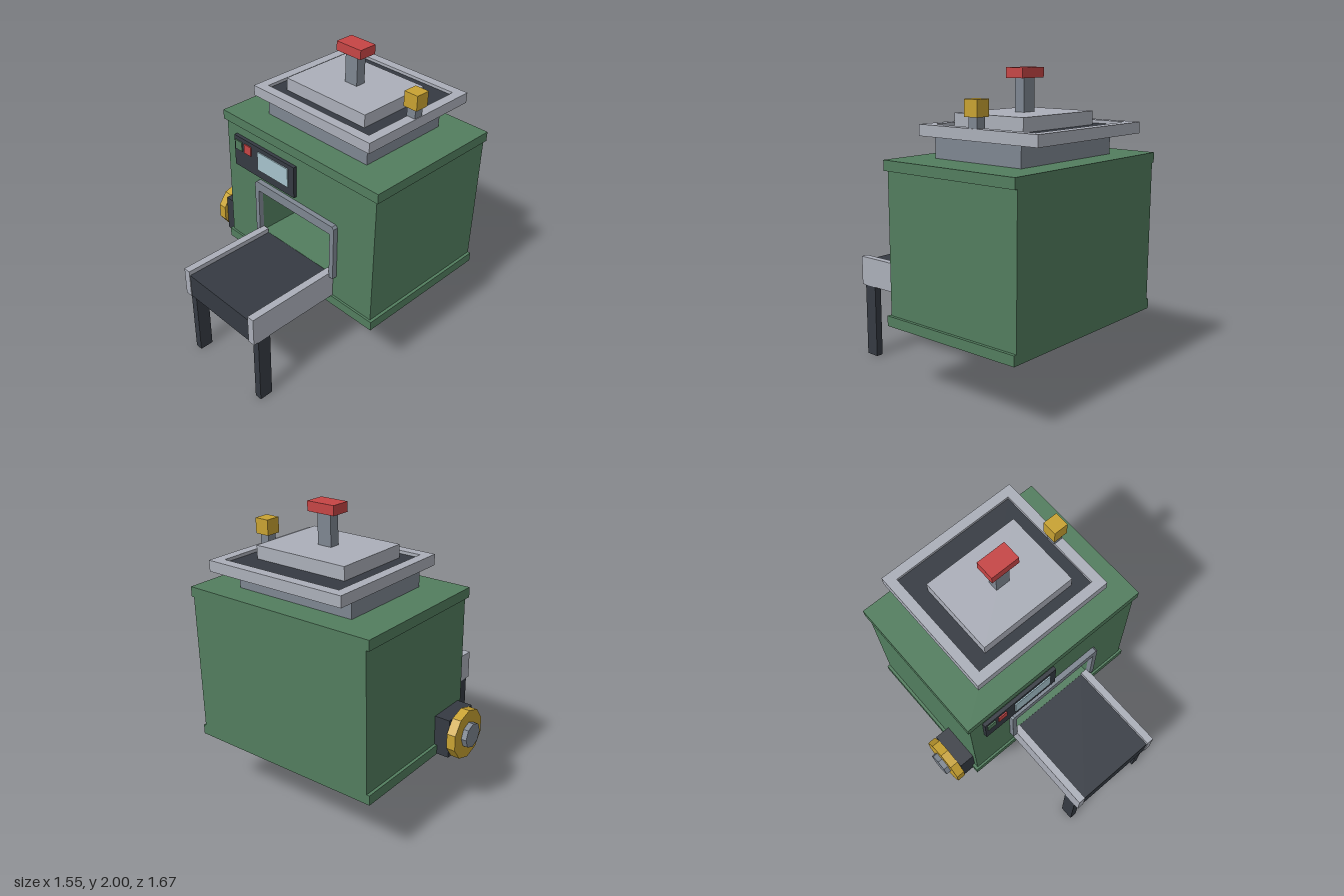
import * as THREE from 'three';

const paint = (name, color) => {
  const m = new THREE.MeshStandardMaterial({ color });
  m.name = name;
  return m;
};

export function createModel() {
  const green = paint('green enamel', 0x527d5e);
  const dark = paint('dark steel', 0x353a42);
  const light = paint('light metal', 0xabafb9);
  const grey = paint('grey metal', 0x7e8691);
  const gold = paint('brass', 0xc8a232);
  const red = paint('red', 0xc64545);
  const glass = paint('display glass', 0xa6c3cc);

  const model = new THREE.Group();
  model.name = 'machine';

  const add = (name, geometry, material) => {
    const mesh = new THREE.Mesh(geometry, material);
    mesh.name = name;
    model.add(mesh);
    return mesh;
  };
  // box given by its limits on each axis
  const box = (name, material, [x0, x1], [y0, y1], [z0, z1]) => {
    const mesh = add(name, new THREE.BoxGeometry(x1 - x0, y1 - y0, z1 - z0), material);
    mesh.position.set((x0 + x1) / 2, (y0 + y1) / 2, (z0 + z1) / 2);
    return mesh;
  };
  const polygon = (points, Type = THREE.Shape) =>
    new Type(points.map(([x, y]) => new THREE.Vector2(x, y)));
  const rect = (x0, x1, y0, y1, Type) =>
    polygon([[x0, y0], [x1, y0], [x1, y1], [x0, y1]], Type);
  const extrude = (shape, depth) =>
    new THREE.ExtrudeGeometry(shape, { depth, bevelEnabled: false });

  // Body: solid rear block and a front section with the outlet cut through it
  box('bodyRear', green, [-0.575, 0.755], [0.45, 1.45], [-0.835, -0.24]);
  const front = rect(-0.575, 0.755, 0.45, 1.45);
  front.holes.push(rect(-0.24, 0.42, 0.67, 1.005, THREE.Path));
  add('bodyFront', extrude(front, 0.405), green).position.z = -0.24;
  box('bottomRim', green, [-0.595, 0.775], [0.435, 0.5], [-0.835, 0.18]);
  box('topRim', green, [-0.595, 0.775], [1.4, 1.465], [-0.835, 0.18]);

  // Outlet: dark back panel and chamfered frame
  box('outletPanel', dark, [-0.23, 0.405], [0.688, 0.985], [-0.24, -0.232]);
  const frame = polygon([
    [-0.275, 0.67], [-0.24, 0.67], [-0.24, 1.005], [0.42, 1.005], [0.42, 0.67],
    [0.455, 0.67], [0.455, 1.055], [0.44, 1.07], [-0.26, 1.07], [-0.275, 1.055],
  ]);
  add('outletFrame', extrude(frame, 0.035), grey).position.z = 0.165;

  // Conveyor with rails and legs
  box('conveyorBed', dark, [-0.195, 0.375], [0.5, 0.668], [0.16, 0.83]);
  for (const x of [-0.245, 0.375]) {
    box('conveyorRail', light, [x, x + 0.05], [0.5, 0.7], [0.165, 0.835]);
    box('conveyorLeg', dark, [x, x + 0.05], [0, 0.5], [0.705, 0.8]);
  }

  // Control panel
  box('controlPanel', dark, [-0.48, 0.09], [1.105, 1.33], [0.165, 0.19]);
  box('display', glass, [-0.245, 0.04], [1.165, 1.3], [0.19, 0.198]);
  box('startButton', green, [-0.465, -0.4], [1.235, 1.302], [0.19, 0.198]);
  box('stopButton', red, [-0.378, -0.312], [1.235, 1.302], [0.19, 0.198]);

  // Hopper: neck, flange ring, dark bed and lid
  box('hopperNeck', grey, [-0.345, 0.52], [1.465, 1.61], [-0.665, 0]);
  const flange = rect(-0.41, 0.59, -0.065, 0.835);
  flange.holes.push(rect(-0.345, 0.525, 0, 0.77, THREE.Path));
  const ring = add('hopperFlange', extrude(flange, 0.07), light);
  ring.rotation.x = -Math.PI / 2;
  ring.position.y = 1.6;
  box('hopperBed', dark, [-0.345, 0.525], [1.605, 1.65], [-0.77, 0]);
  box('lid', light, [-0.245, 0.425], [1.65, 1.735], [-0.6, -0.07]);

  // Lid handle and corner valve
  box('handlePost', grey, [0.04, 0.14], [1.735, 1.94], [-0.37, -0.3]);
  box('handleGrip', red, [-0.01, 0.19], [1.938, 2], [-0.4, -0.27]);
  box('valvePost', grey, [0.52, 0.585], [1.67, 1.74], [-0.4, -0.335]);
  box('valveKnob', gold, [0.505, 0.605], [1.735, 1.835], [-0.418, -0.318]);

  // Side drive: gearbox, wheel and hub
  box('gearbox', dark, [-0.68, -0.575], [0.438, 0.7], [-0.132, 0.132]);
  const disc = (name, material, radius, sides, x0, x1) => {
    const geometry = new THREE.CylinderGeometry(radius, radius, x1 - x0, sides).toNonIndexed();
    geometry.computeVertexNormals();
    // first corner is turned to point straight down
    geometry.rotateY(Math.PI / 2).rotateZ(Math.PI / 2);
    add(name, geometry, material).position.set((x0 + x1) / 2, 0.57, 0);
  };
  disc('driveWheel', gold, 0.165, 10, -0.74, -0.68);
  disc('wheelHub', grey, 0.083, 8, -0.775, -0.74);

  return model;
}
